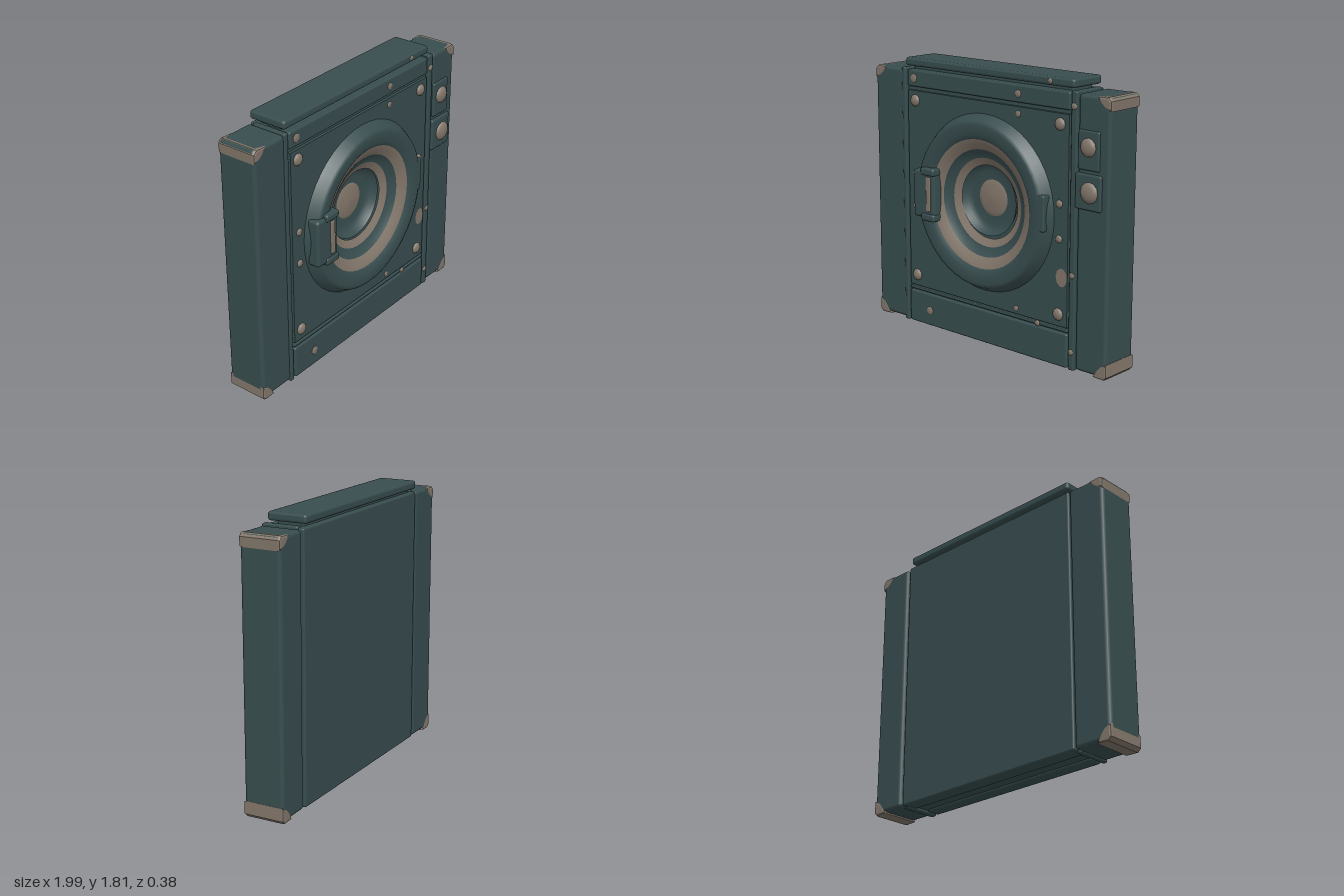
import * as THREE from 'three';
import { RoundedBoxGeometry } from 'three/addons/geometries/RoundedBoxGeometry.js';

const material = (name, color) => {
  const m = new THREE.MeshStandardMaterial({ color, side: THREE.DoubleSide });
  m.name = name;
  return m;
};

export function createModel() {
  const model = new THREE.Group();
  model.name = 'portholePanel';
  const teal = material('darkTealPaint', 0x384d4f);
  const tan = material('wornTanMetal', 0x82766a);

  const add = (name, geometry, mat, x = 0, y = 0, z = 0) => {
    const mesh = new THREE.Mesh(geometry, mat);
    mesh.name = name;
    mesh.position.set(x, y, z);
    model.add(mesh);
    return mesh;
  };

  // Soft-edged box given by its limits on each axis
  const box = (name, mat, [x0, x1], [y0, y1], [z0, z1], r = 0.012) =>
    add(name, new RoundedBoxGeometry(x1 - x0, y1 - y0, z1 - z0, 2, r), mat,
      (x0 + x1) / 2, (y0 + y1) / 2, (z0 + z1) / 2);

  // Flat plate with a round opening for the porthole
  const cy = 0.95;
  const holedPlate = (name, [x0, x1], [y0, y1], [z0, z1], radius) => {
    const s = new THREE.Shape();
    s.moveTo(x0, y0).lineTo(x1, y0).lineTo(x1, y1).lineTo(x0, y1).closePath();
    s.holes.push(new THREE.Path().absarc(0, cy, radius, 0, Math.PI * 2, true));
    add(name, new THREE.ExtrudeGeometry(s, { depth: z1 - z0, bevelEnabled: false, curveSegments: 40 }),
      teal, 0, 0, z0);
  };

  // Main body
  box('backSlab', teal, [-0.72, 0.73], [0.02, 1.74], [-0.187, -0.08]);
  holedPlate('bodyCore', [-0.7, 0.71], [0.03, 1.735], [-0.1, 0.065], 0.45);
  holedPlate('frontPanel', [-0.685, 0.685], [0.275, 1.605], [0.065, 0.085], 0.45);
  box('bottomBeam', teal, [-0.69, 0.69], [0.015, 0.235], [0, 0.092]);
  box('panelSill', teal, [-0.69, 0.69], [0.245, 0.265], [0, 0.088], 0.006);
  box('topBeam', teal, [-0.69, 0.69], [1.63, 1.74], [0, 0.088]);

  // Top rail on a narrow neck
  box('railNeck', teal, [-0.68, 0.67], [1.72, 1.78], [-0.15, 0.03]);
  box('topRail', teal, [-0.72, 0.71], [1.76, 1.816], [-0.19, 0.075], 0.018);

  // Side pillars and trim strips
  box('rightPillar', teal, [-0.995, -0.725], [0.02, 1.74], [-0.187, 0.085], 0.025);
  box('leftPillar', teal, [0.75, 0.99], [0.02, 1.74], [-0.187, 0.085], 0.025);
  box('rightTrim', teal, [-0.74, -0.705], [0.01, 1.75], [-0.15, 0.092], 0.01);
  box('leftTrim', teal, [0.7, 0.745], [0.01, 1.75], [-0.15, 0.09], 0.01);

  // Worn corner guards wrapping the outer pillar corners
  for (const sx of [-1, 1]) for (const top of [false, true]) {
    const w = 0.075, h = top ? 0.055 : 0.075, sy = top ? -1 : 1;
    const pts = [[0, 0.015], [0.015, 0], [w, 0], [w * 0.75, h * 0.45], [w * 0.4, h * 0.85], [0, h]];
    const ox = sx * 0.983, oy = top ? 1.727 : 0.02;
    const shape = new THREE.Shape(pts.map(([x, y]) => new THREE.Vector2(ox - sx * x, oy + sy * y)));
    add('cornerGuard', new THREE.ExtrudeGeometry(shape, {
      depth: 0.248, bevelThickness: 0.014, bevelSize: 0.014, bevelSegments: 2,
    }), tan, 0, 0, -0.175);
  }

  // Porthole: raised rim and a bowl sunk in rings, listed from outside inwards
  const bands = [
    ['portholeRim', teal, [[0.58, 0.08], [0.54, 0.148], [0.515, 0.158], [0.45, 0.155], [0.42, 0.135]]],
    ['outerRing', tan, [[0.42, 0.135], [0.39, 0.125], [0.35, 0.1]]],
    ['middleRing', teal, [[0.35, 0.1], [0.32, 0.075], [0.29, 0.065]]],
    ['innerRing', tan, [[0.29, 0.065], [0.24, 0.04]]],
    ['bowl', teal, [[0.24, 0.04], [0.22, 0.0], [0.18, -0.015], [0.12, -0.015]]],
    ['centreDisc', tan, [[0.12, -0.015], [0.09, -0.004], [0, 0.002]]],
  ];
  for (const [name, mat, profile] of bands) {
    const g = new THREE.LatheGeometry(profile.map(([r, z]) => new THREE.Vector2(r, z)), 48);
    const cx = name === 'centreDisc' || name === 'bowl' ? -0.015 : 0;
    add(name, g.rotateX(Math.PI / 2), mat, cx, cx ? cy + 0.015 : cy, 0);
  }

  // Porthole handle and hinge
  box('handleBlock', teal, [-0.555, -0.365], [0.79, 1.11], [0.09, 0.178], 0.02);
  for (const y of [0.775, 1.08]) box('handleEnd', teal, [-0.48, -0.36], [y, y + 0.05], [0.1, 0.19], 0.015);
  box('handleGrip', tan, [-0.435, -0.395], [0.84, 1.07], [0.165, 0.186], 0.008);
  box('hinge', teal, [0.5, 0.55], [0.87, 1.1], [0.08, 0.157], 0.012);

  // Control boxes with knobs
  box('upperControl', teal, [0.76, 0.92], [1.29, 1.53], [0.05, 0.097]);
  box('lowerControl', teal, [0.745, 0.94], [1.05, 1.27], [0.05, 0.102]);

  // Domed studs: x, y, radius, surface z, height
  const stud = (name, x, y, r, z, h) => {
    const g = new THREE.SphereGeometry(r, 12, 6, 0, Math.PI * 2, 0, Math.PI / 2);
    g.rotateX(Math.PI / 2).scale(1, 1, h / r);
    add(name, g, tan, x, y, z);
  };
  stud('upperKnob', 0.84, 1.43, 0.058, 0.095, 0.03);
  stud('lowerKnob', 0.855, 1.16, 0.066, 0.1, 0.03);
  for (const x of [-0.62, 0.615]) {
    for (const y of [0.35, 1.54]) stud('cornerBolt', x, y, 0.04, 0.083, 0.025);
    for (const y of [0.83, 1.05]) stud('sideRivet', x, y, 0.026, 0.083, 0.015);
  }
  const rivets = [
    [-0.63, 1.685, 0.03, 0.086], [0.28, 1.685, 0.025, 0.086], [0.28, 1.56, 0.022, 0.083],
    [0.27, 0.31, 0.02, 0.083], [-0.5, 0.12, 0.03, 0.09], [0.722, 0.13, 0.02, 0.088],
    [0.722, 1.66, 0.022, 0.088], [0.722, 0.62, 0.02, 0.088], [0.525, 1.788, 0.018, 0.072],
    [0.45, 0.255, 0.02, 0.086],
  ];
  for (const [x, y, r, z] of rivets) stud('rivet', x, y, r, z, 0.01);

  // Worn patch beside the left trim
  const patch = new THREE.CircleGeometry(0.06, 10).scale(0.75, 1, 1);
  add('wornPatch', patch, tan, 0.64, 0.59, 0.088);

  return model;
}
